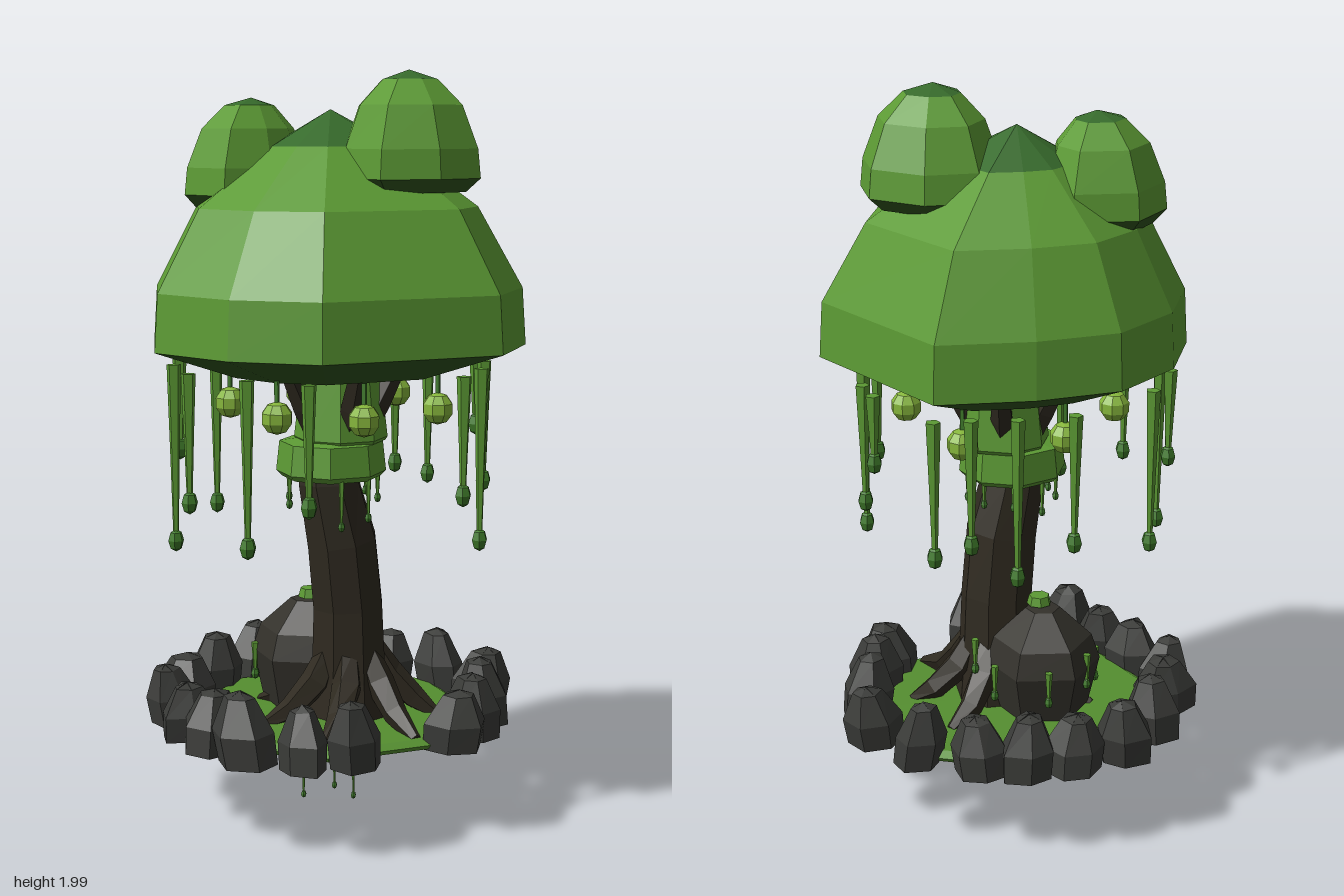
import * as THREE from 'three';

const mat = (color) => new THREE.MeshStandardMaterial({ color, flatShading: true, roughness: 0.9 });
const LEAF = mat(0x5c9a34), LEAFTOP = mat(0x376b2c), SHADE = mat(0x31561f), VINE = mat(0x3f7a2a), FRUIT = mat(0x86b63c);
const BARK = mat(0x2f2a20), ROCK = mat(0x3a3b38), BOULDER = mat(0x33312b), GRASS = mat(0x558f30), SOIL = mat(0x5f9a36);

let seed = 7;
const rnd = (a = 0, b = 1) => {
  seed = (seed * 16807) % 2147483647;
  return a + (b - a) * seed / 2147483647;
};
const V = (x, y, z) => new THREE.Vector3(x, y, z);

// Skin a list of equal-length rings; each ring runs counterclockwise about the path
function loft(rings) {
  const pos = [];
  const tri = (a, b, c) => {
    if (a.distanceTo(b) < 1e-6 || b.distanceTo(c) < 1e-6 || a.distanceTo(c) < 1e-6) return;
    for (const p of [a, b, c]) pos.push(p.x, p.y, p.z);
  };
  for (let k = 0; k + 1 < rings.length; k++) {
    const lo = rings[k], hi = rings[k + 1], n = lo.length;
    for (let i = 0; i < n; i++) {
      const j = (i + 1) % n;
      tri(lo[i], lo[j], hi[j]);
      tri(lo[i], hi[j], hi[i]);
    }
  }
  const g = new THREE.BufferGeometry();
  g.setAttribute('position', new THREE.Float32BufferAttribute(pos, 3));
  g.computeVertexNormals();
  return g;
}

// Scale an outline about a centre at each [scale, height] of the profile
const dome = (outline, [cx, cz], profile) => loft(profile.map(([s, y]) =>
  outline.map(([x, z]) => V(cx + (x - cx) * s, y, cz + (z - cz) * s))));

// Tapered, closed limb through points
function limb(pts, radii, sides = 6) {
  const rings = pts.map((p, k) => {
    const t = pts[Math.min(k + 1, pts.length - 1)].clone().sub(pts[Math.max(k - 1, 0)]).normalize();
    const ref = Math.abs(t.y) > 0.3 ? V(0, 0, 1) : V(0, 1, 0);
    const u = ref.cross(t).normalize(), v = t.clone().cross(u);
    return Array.from({ length: sides }, (_, i) => {
      const a = i / sides * Math.PI * 2;
      return p.clone().addScaledVector(u, Math.cos(a) * radii[k]).addScaledVector(v, Math.sin(a) * radii[k]);
    });
  });
  const cap = (p) => Array.from({ length: sides }, () => p);
  return loft([cap(pts[0]), ...rings, cap(pts[pts.length - 1])]);
}

// Faceted stone with a broad shoulder and small, shifted top
function stone(x, y, z, r, h) {
  const wob = Array.from({ length: 6 }, () => rnd(0.85, 1.2)), turn = rnd(0, 6);
  const tx = rnd(-0.3, 0.3) * r, tz = rnd(-0.3, 0.3) * r;
  return loft([[0, 0], [0.95, 0], [1, 0.45], [0.5, 0.92], [0, 1]].map(([s, f]) => wob.map((w, i) => {
    const a = turn + i / 6 * Math.PI * 2;
    return V(x + tx * f + Math.cos(a) * r * s * w, y + h * f * (0.9 + 0.1 * w), z + tz * f - Math.sin(a) * r * s * w);
  })));
}

export function createModel() {
  const root = new THREE.Group();
  const group = (name) => {
    const g = new THREE.Group();
    g.name = name;
    root.add(g);
    return g;
  };
  const add = (parent, name, geo, m) => {
    const mesh = new THREE.Mesh(geo, m);
    mesh.name = name;
    parent.add(mesh);
  };
  // Hanging strand, thin at the bottom and ending in a bud
  const strand = (parent, x, y0, z, y1, w) => {
    add(parent, 'strand', limb([V(x, y0, z), V(x, (y0 + y1) / 2, z), V(x, y1, z)], [w, w * 0.65, w * 0.35], 5), LEAF);
    add(parent, 'bud', new THREE.SphereGeometry(w * 1.1, 6, 4).scale(1, 1.4, 1).translate(x, y1 + w, z), VINE);
  };

  // Canopy: one large cap and two smaller ones
  const canopy = group('canopy');
  const caps = [
    { c: [0, 0], o: [[-0.515, 0.09], [-0.4, 0.325], [-0.21, 0.475], [0.283, 0.46], [0.45, 0.26], [0.4, -0.24], [0.17, -0.35], [-0.05, -0.405], [-0.27, -0.33], [-0.44, -0.165]],
      under: [[0, 1.2], [0.55, 1.21], [1, 1.29]], side: [[0.98, 1.44], [0.75, 1.65], [0.34, 1.805]], top: 1.9 },
    { c: [0.16, 0.145], o: [[0.145, -0.06], [0.02, 0.03], [-0.03, 0.16], [0.01, 0.31], [0.16, 0.345], [0.3, 0.285], [0.357, 0.135], [0.28, -0.01]],
      under: [[0, 1.69], [0.8, 1.69], [1, 1.725]], side: [[0.96, 1.8], [0.74, 1.91], [0.4, 1.975]], top: 2 },
    { c: [-0.19, -0.085], o: [[-0.186, -0.28], [-0.33, -0.205], [-0.375, -0.085], [-0.317, 0.065], [-0.184, 0.06], [-0.087, 0.01], [-0.03, -0.08], [-0.035, -0.205]],
      under: [[0, 1.64], [0.8, 1.64], [1, 1.68]], side: [[0.96, 1.75], [0.74, 1.85], [0.4, 1.91]], top: 1.93 },
  ];
  for (const { c, o, under, side, top } of caps) {
    add(canopy, 'canopyUnderside', dome(o, c, under), SHADE);
    add(canopy, 'canopyCap', dome(o, c, [under[2], ...side]), LEAF);
    add(canopy, 'canopyCrown', dome(o, c, [side[2], [0, top]]), LEAFTOP);
  }

  // Long strands around the canopy edge: x, z, lower end
  const vines = group('hangingVines');
  for (const [x, z, y] of [[-0.41, -0.09, 0.74], [0.31, 0.285, 0.76], [-0.335, 0.28, 0.79], [-0.22, -0.31, 0.79], [0.2, -0.31, 0.79],
    [0.385, -0.21, 0.85], [0.41, 0.05, 1.03], [-0.43, 0.1, 0.88], [-0.22, 0.41, 0.91], [0.2, 0.41, 0.91], [0.3, -0.25, 0.88], [0.06, -0.36, 0.87], [-0.36, -0.2, 0.97], [0.39, 0.14, 0.89]])
    strand(vines, x, 1.235, z, y, 0.02);

  // Round fruits on short stems
  const fruits = group('fruits');
  for (const [x, z] of [[-0.25, -0.1], [-0.04, 0.33], [0.22, 0.21], [0.25, -0.13], [0, -0.23], [-0.23, 0.21]]) {
    add(fruits, 'fruit', new THREE.SphereGeometry(0.043, 8, 5).translate(x, 1.125, z), FRUIT);
    add(fruits, 'fruitStem', limb([V(x, 1.15, z), V(x, 1.22, z)], [0.007, 0.007], 4), VINE);
  }

  // Trunk, branches and roots
  const tree = group('tree');
  add(tree, 'trunk', limb([V(0.03, 0.25, 0.06), V(0.03, 0.38, 0.06), V(0.025, 0.58, 0.065), V(0.005, 0.76, 0.07), V(-0.03, 0.92, 0.065), V(-0.01, 1.25, 0.05)],
    [0.12, 0.108, 0.1, 0.098, 0.086, 0.075], 8), BARK);
  for (let i = 0; i < 5; i++) {
    const a = 0.35 + i / 5 * Math.PI * 2, c = Math.cos(a), s = Math.sin(a);
    add(tree, 'branch', limb([V(c * 0.07, 1.04, 0.05 + s * 0.07), V(c * 0.11, 1.13, 0.05 + s * 0.11), V(c * 0.16, 1.23, 0.05 + s * 0.16)], [0.025, 0.032, 0.025], 5), BARK);
  }
  for (let i = 0; i < 7; i++) {
    const a = 0.2 + i / 7 * Math.PI * 2, L = rnd(0.24, 0.29);
    const at = (r, y, da = 0) => V(0.03 + Math.cos(a + da) * r, y, 0.06 + Math.sin(a + da) * r);
    add(tree, 'root', limb([at(0.06, 0.47), at(0.11, 0.38), at(0.18, 0.31, 0.1), at(L, 0.27, 0.2)], [0.03, 0.042, 0.034, 0.015], 5), BARK);
  }

  // Leafy collar below the canopy, with small strands
  const collar = group('collar');
  const ngon = (cx, cz, r, n) => Array.from({ length: n }, (_, i) => {
    const a = (i + 0.5) / n * Math.PI * 2;
    return [cx + Math.cos(a) * r, cz - Math.sin(a) * r];
  });
  add(collar, 'lowerCollar', dome(ngon(-0.018, 0.05, 0.147, 8), [-0.018, 0.05], [[0, 0.93], [0.9, 0.935], [1, 0.95], [0.94, 1.03], [0, 1.05]]), LEAF);
  add(collar, 'upperCollar', dome(ngon(0.01, 0.05, 0.125, 8), [0.01, 0.05], [[0, 1.02], [0.95, 1.03], [1, 1.04], [0.85, 1.2], [0, 1.22]]), LEAF);
  for (const [x, z] of ngon(-0.015, 0.05, 0.122, 9)) strand(collar, x, 0.96, z, rnd(0.78, 0.9), 0.009);

  // Grassy island
  const island = group('island');
  const ground = ngon(0, 0, 0.4, 8);
  add(island, 'grass', dome(ground, [0, 0], [[0.98, 0.25], [1, 0.262], [0.94, 0.275], [0, 0.28]]), GRASS);
  add(island, 'groundUnderside', dome(ground, [0, 0], [[0, 0.24], [0.98, 0.25]]), SOIL);
  add(island, 'bottomPatch', dome(ngon(0, 0.05, 0.125, 7), [0, 0.05], [[0, 0.228], [0.9, 0.23], [1, 0.25]]), SHADE);
  for (let i = 0; i < 14; i++) strand(island, -0.11 + i * 0.019, 0.24, 0.02 + (i % 3) * 0.01, i === 9 ? 0.01 : rnd(0.03, 0.17), 0.007);

  // Ring of stones, open at the front: angle in degrees from +x towards +z, distance
  const stones = group('stoneRing');
  for (const [deg, r] of [[6, 0.44], [27, 0.43], [45, 0.42], [60, 0.41], [103, 0.41], [121, 0.44], [140, 0.43], [160, 0.42], [179, 0.42],
    [197, 0.43], [214, 0.42], [237, 0.41], [259, 0.41], [280, 0.39], [299, 0.39], [317, 0.39], [344, 0.42]]) {
    const a = deg * Math.PI / 180;
    add(stones, 'stone', stone(Math.cos(a) * r, 0.245, Math.sin(a) * r, rnd(0.068, 0.08), rnd(0.15, 0.19)), ROCK);
  }

  // Boulder behind the trunk with moss and small sprouts
  const boulder = group('boulder');
  add(boulder, 'boulderStone', dome(ngon(-0.03, -0.085, 0.16, 6), [-0.04, -0.07], [[0, 0.27], [0.8, 0.28], [1, 0.42], [0.85, 0.49], [0.3, 0.57], [0, 0.575]]), BOULDER);
  add(boulder, 'moss', new THREE.CylinderGeometry(0.028, 0.034, 0.025, 7).translate(-0.035, 0.59, -0.06), LEAF);
  for (const [x, z, y] of [[0.15, -0.12, 0.46], [0.15, -0.02, 0.5], [-0.1, -0.2, 0.46], [-0.17, -0.14, 0.44], [0.04, -0.22, 0.45]])
    strand(boulder, x, y, z, y - 0.1, 0.011);

  return root;
}
